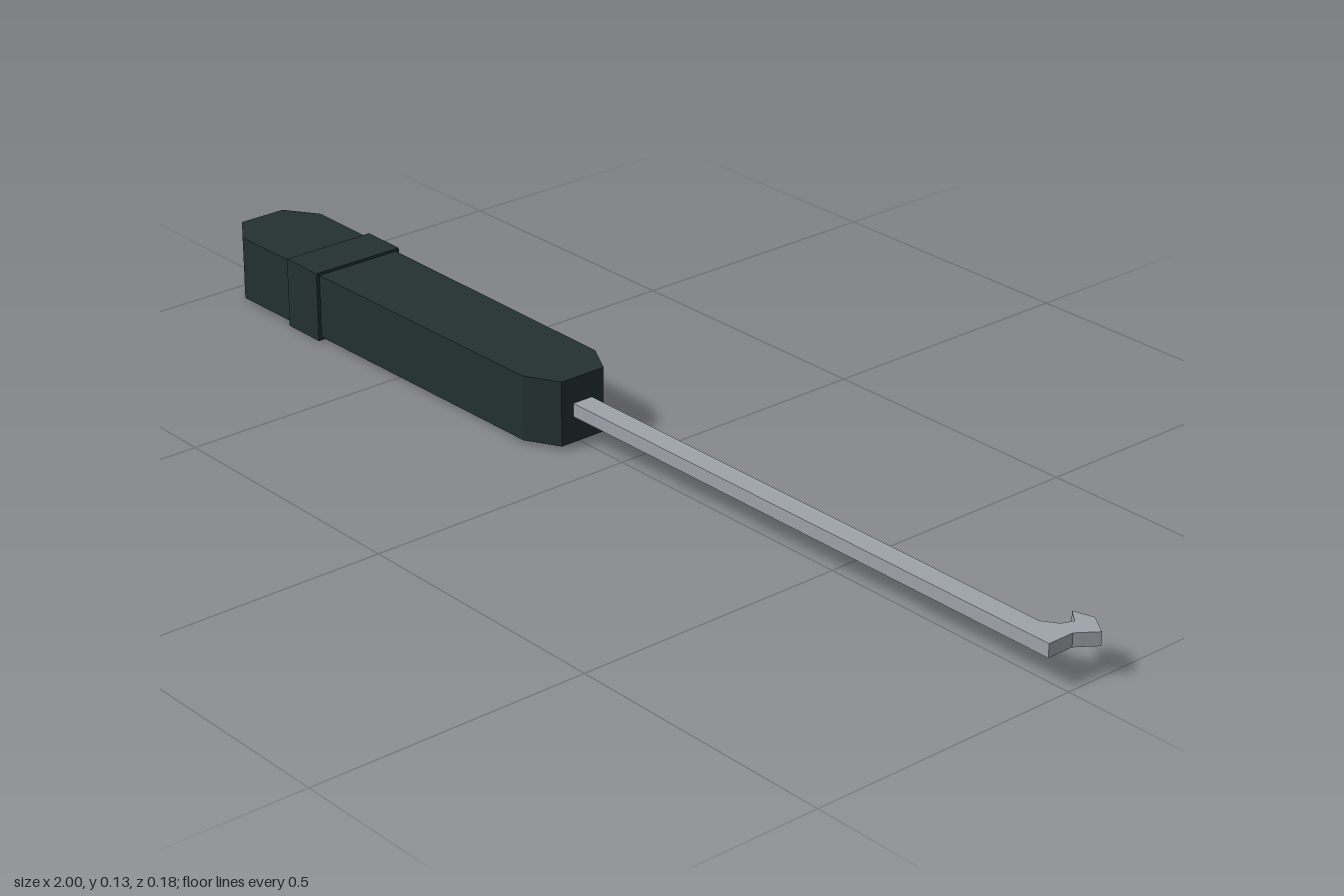
import * as THREE from 'three';

// Extrudes a plan outline of [x, z] points upward from y0 to y1
function slab(name, outline, y0, y1, material) {
  const shape = new THREE.Shape(outline.map(([x, z]) => new THREE.Vector2(x, -z)));
  const geometry = new THREE.ExtrudeGeometry(shape, { depth: y1 - y0, bevelEnabled: false });
  geometry.rotateX(-Math.PI / 2);
  geometry.translate(0, y0, 0);
  const mesh = new THREE.Mesh(geometry, material);
  mesh.name = name;
  return mesh;
}

export function createModel() {
  const grip = new THREE.MeshStandardMaterial({ color: 0x233130 });
  grip.name = 'dark green grip';
  const steel = new THREE.MeshStandardMaterial({ color: 0x9fa4ab });
  steel.name = 'grey steel';

  const model = new THREE.Group();
  model.name = 'hookTool';

  // Handle: tapered block with chamfered ends, mirrored across z
  const side = [[-1, 0.045], [-0.94, 0.086], [-0.16, 0.078], [-0.1, 0.045]];
  const mirrored = side.map(([x, z]) => [x, -z]).reverse();
  model.add(slab('handle', [...side, ...mirrored], 0.006, 0.123, grip));

  // Slightly raised band around the handle
  const band = [[-0.8, 0.09], [-0.713, 0.09], [-0.713, -0.09], [-0.8, -0.09]];
  model.add(slab('handleBand', band, 0, 0.128, grip));

  // Flat shaft ending in a small hook turned to the back
  const shaft = [
    [-0.12, 0.02], [0.975, 0.02], [0.975, -0.03], [1, -0.065], [0.963, -0.09],
    [0.927, -0.079], [0.951, -0.059], [0.943, -0.038], [0.917, -0.02], [-0.12, -0.02],
  ];
  model.add(slab('hookedShaft', shaft, 0.053, 0.077, steel));

  return model;
}
